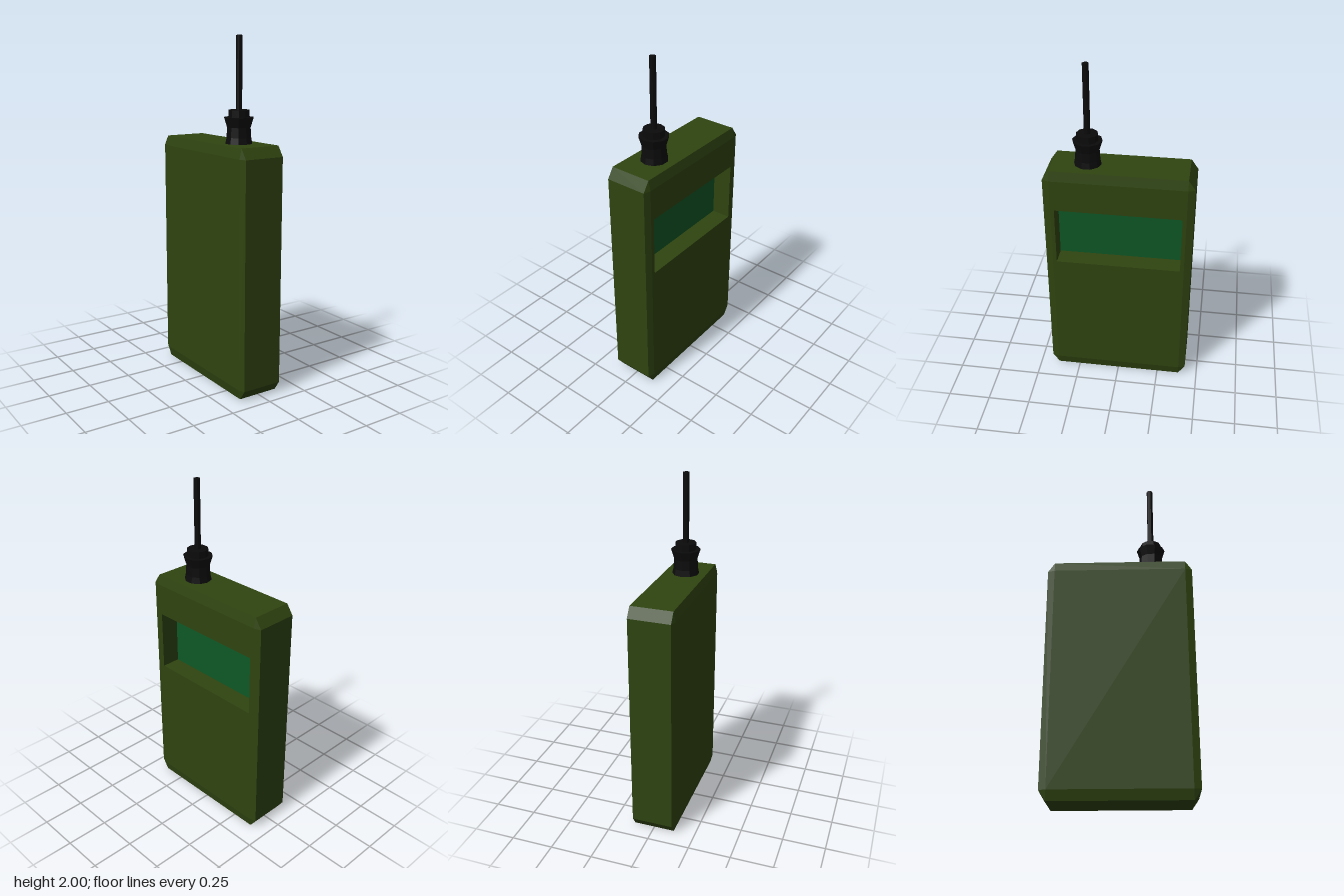
import * as THREE from 'three';
import { ConvexGeometry } from 'three/addons/geometries/ConvexGeometry.js';

const X = 0.135, H = 1.415, Z = 0.425;          // case half width, height, half depth
const BX = 0.013, BY = 0.058, BZ = 0.04;        // chamfer along each axis
const R = { z: 0.363, y0: 0.815, y1: 1.17, floor: 0.022 }; // screen recess

function material(name, color) {
  const m = new THREE.MeshStandardMaterial({ color });
  m.name = name;
  return m;
}

function addMesh(parent, name, geometry, mat) {
  const m = new THREE.Mesh(geometry, mat);
  m.name = name;
  parent.add(m);
  return m;
}

// Chamfered box with its flat +x face removed
function openCase() {
  const pts = [];
  const h = H / 2;
  for (const sx of [-1, 1]) for (const sy of [-1, 1]) for (const sz of [-1, 1]) {
    for (const [x, y, z] of [
      [X, h - BY, Z - BZ], [X - BX, h, Z - BZ], [X - BX, h - BY, Z],
    ]) pts.push(new THREE.Vector3(sx * x, h + sy * y, sz * z));
  }
  const src = new ConvexGeometry(pts).getAttribute('position');
  const kept = [];
  for (let i = 0; i < src.count; i += 3) {
    const ids = [i, i + 1, i + 2];
    if (ids.every((k) => src.getX(k) > X - 1e-4)) continue;
    for (const k of ids) kept.push(src.getX(k), src.getY(k), src.getZ(k));
  }
  const g = new THREE.BufferGeometry();
  g.setAttribute('position', new THREE.Float32BufferAttribute(kept, 3));
  g.computeVertexNormals();
  return g;
}

// Rectangle path; the shape's x axis becomes -z after turning to face +x
function rect(path, z, y0, y1) {
  path.moveTo(-z, y0).lineTo(z, y0).lineTo(z, y1).lineTo(-z, y1).closePath();
  return path;
}

export function createModel() {
  const group = new THREE.Group();
  group.name = 'handheldDevice';
  const green = material('olive green', 0x2f4410);
  const screenGreen = material('screen green', 0x0e5825);
  const black = material('black', 0x0b0b0b);

  addMesh(group, 'case', openCase(), green);

  // Side panel with the screen opening
  const panel = rect(new THREE.Shape(), Z - BZ, BY, H - BY);
  panel.holes.push(rect(new THREE.Path(), R.z, R.y0, R.y1));
  const panelGeo = new THREE.ShapeGeometry(panel).rotateY(Math.PI / 2).translate(X, 0, 0);
  addMesh(group, 'screenPanel', panelGeo, green);

  // Four walls of the recess, facing inward
  const depth = X - R.floor, mx = (X + R.floor) / 2;
  const my = (R.y0 + R.y1) / 2, hy = R.y1 - R.y0;
  for (const s of [-1, 1]) {
    const ledge = new THREE.PlaneGeometry(depth, R.z * 2).rotateX(s * Math.PI / 2);
    addMesh(group, s < 0 ? 'recessSill' : 'recessTop', ledge, green)
      .position.set(mx, s < 0 ? R.y0 : R.y1, 0);
    const wall = new THREE.PlaneGeometry(depth, hy).rotateY(s < 0 ? 0 : Math.PI);
    addMesh(group, s < 0 ? 'recessBackWall' : 'recessFrontWall', wall, green)
      .position.set(mx, my, s * R.z);
  }

  // Screen at the bottom of the recess
  addMesh(group, 'screen', new THREE.PlaneGeometry(R.z * 2, hy).rotateY(Math.PI / 2), screenGreen)
    .position.set(R.floor, my, 0);

  // Antenna: waisted ten-sided base, collar and thin rod
  const antenna = new THREE.Group();
  antenna.name = 'antenna';
  antenna.position.set(0, 0, 0.186);
  group.add(antenna);
  const profile = [[0.078, H], [0.071, 1.45], [0.068, 1.505], [0.085, 1.56], [0.061, 1.56], [0.061, 1.6], [0, 1.6]]
    .map(([r, y]) => new THREE.Vector2(r, y));
  const base = new THREE.LatheGeometry(profile, 10).toNonIndexed();
  base.computeVertexNormals();
  addMesh(antenna, 'antennaBase', base, black);
  const rod = new THREE.CylinderGeometry(0.018, 0.018, 0.4, 10).toNonIndexed();
  rod.computeVertexNormals();
  addMesh(antenna, 'antennaRod', rod, black).position.y = 1.8;

  return group;
}
